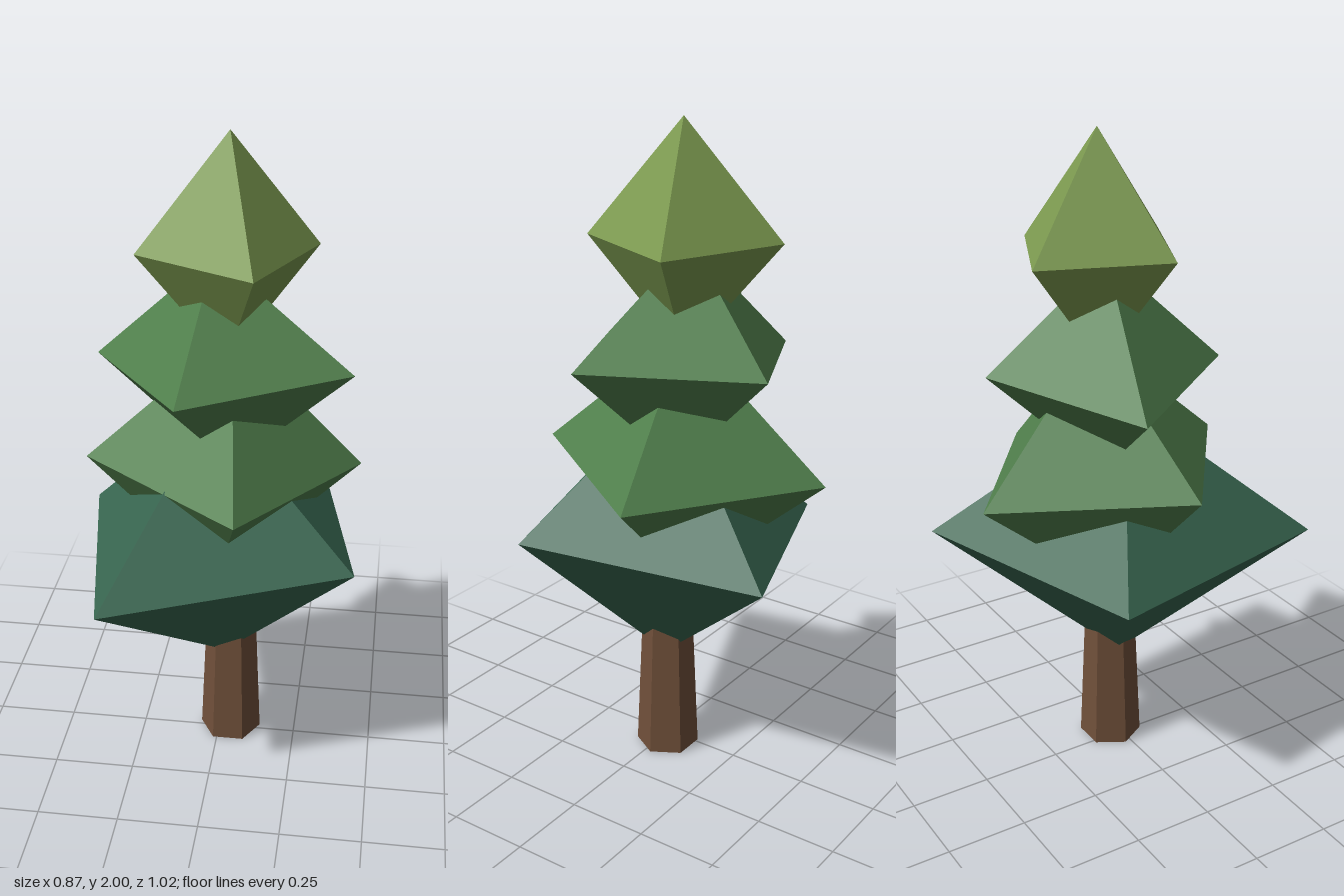
import * as THREE from 'three';

const mat = (name, color) => {
  const m = new THREE.MeshStandardMaterial({ color, flatShading: true });
  m.name = name;
  return m;
};

// Skewed eight-sided crystal: apex, four rim corners (clockwise from above), lower tip
function crystal(top, rim, bottom) {
  const pos = [];
  rim.forEach((a, i) => {
    const b = rim[(i + 1) % rim.length];
    pos.push(...top, ...b, ...a, ...bottom, ...a, ...b);
  });
  const g = new THREE.BufferGeometry();
  g.setAttribute('position', new THREE.Float32BufferAttribute(pos, 3));
  g.computeVertexNormals();
  return g;
}

export function createModel() {
  const group = new THREE.Group();
  const bark = mat('bark brown', 0x70503a);
  const pine = mat('dark pine green', 0x386650);
  const leaf = mat('leaf green', 0x508050);
  leaf.color.set(0x507f4c);
  const lime = mat('olive green', 0x7c9a50);

  // Tapered six-sided trunk, running up into the lowest tier
  const trunk = new THREE.Mesh(
    new THREE.CylinderGeometry(0.075, 0.098, 0.55, 6, 1, false, Math.PI / 2), bark);
  trunk.position.set(0.037, 0.275, -0.02);
  trunk.name = 'trunk';
  group.add(trunk);

  // Foliage tiers, each slightly tilted and turned
  const tiers = [
    { name: 'lowerFoliage', m: pine, top: [-0.02, 1.19, 0], bottom: [0.02, 0.31, 0],
      rim: [[-0.435, 0.72, -0.245], [0.285, 0.76, -0.513], [0.432, 0.775, 0.242], [-0.29, 0.74, 0.51]] },
    { name: 'middleFoliage', m: leaf, top: [0.03, 1.39, -0.075], bottom: [-0.01, 0.57, -0.045],
      rim: [[-0.408, 1.0, 0.015], [-0.07, 0.965, -0.505], [0.427, 0.955, -0.135], [0.09, 0.99, 0.385]] },
    { name: 'upperFoliage', m: leaf, top: [-0.022, 1.64, -0.062], bottom: [0.022, 0.96, -0.048],
      rim: [[-0.4, 1.27, -0.165], [0.095, 1.305, -0.4], [0.4, 1.33, 0.05], [-0.09, 1.3, 0.29]] },
    { name: 'crownFoliage', m: lime, top: [0.022, 2.0, -0.065], bottom: [0.014, 1.31, -0.065],
      rim: [[-0.24, 1.66, 0.033], [-0.085, 1.655, -0.335], [0.276, 1.65, -0.165], [0.12, 1.655, 0.205]] },
  ];
  for (const t of tiers) {
    const mesh = new THREE.Mesh(crystal(t.top, t.rim, t.bottom), t.m);
    mesh.name = t.name;
    group.add(mesh);
  }
  return group;
}
